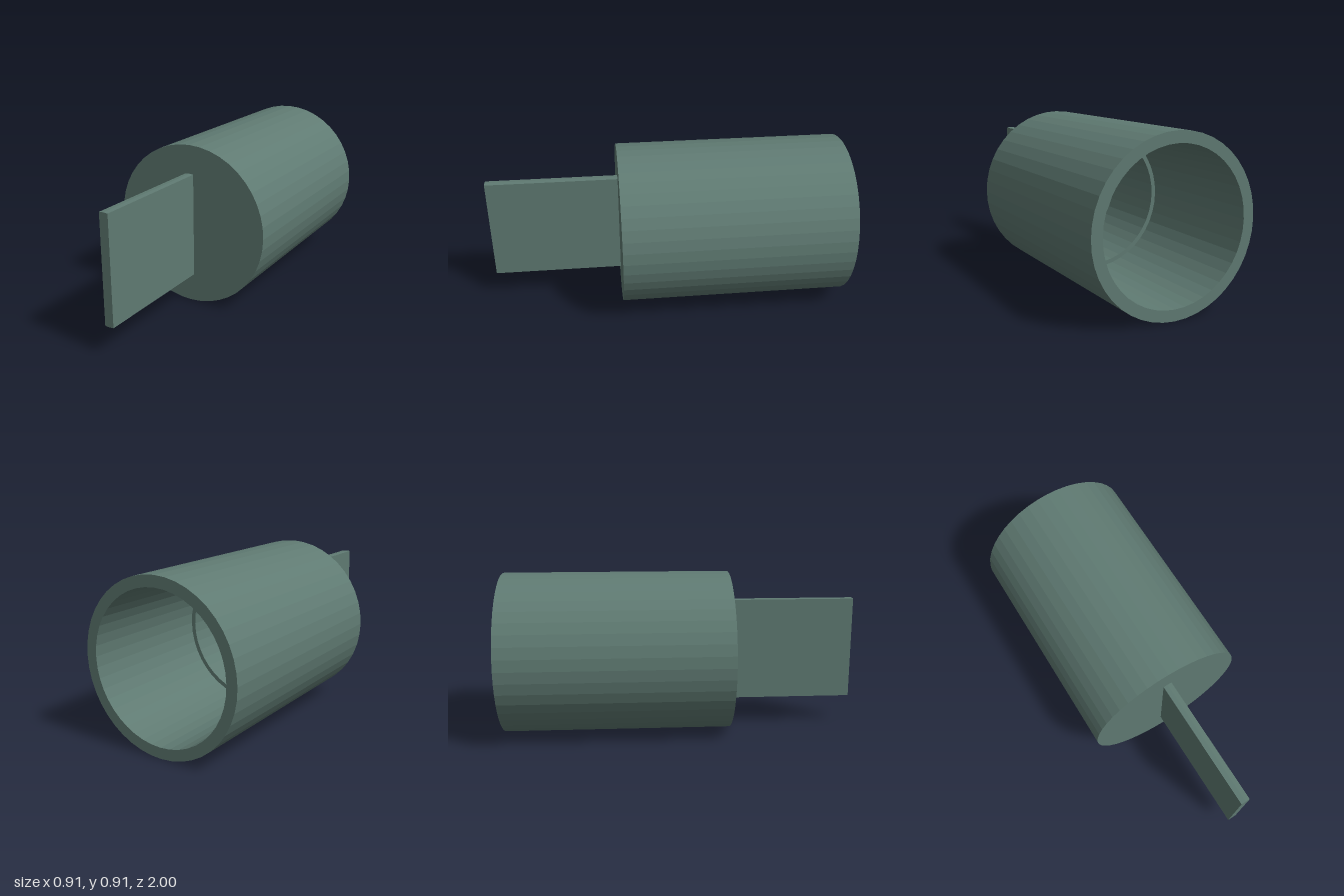
import * as THREE from 'three';

const CENTER_Y = 0.454;
const SEGMENTS = 44;

export function createModel() {
  const model = new THREE.Group();
  const material = new THREE.MeshStandardMaterial({ color: 0x5f7a72, flatShading: true });

  // Hollow body: open at the back, stepped bore, closed front face (radius, z)
  const profile = [
    [0, 0.2], [0.37, 0.2], [0.37, -0.23], [0.394, -0.23],
    [0.394, -1], [0.453, -1], [0.453, 0.27], [0, 0.27],
  ].map(([r, z]) => new THREE.Vector2(r, z));
  const bodyGeometry = new THREE.LatheGeometry(profile, SEGMENTS);
  bodyGeometry.rotateX(Math.PI / 2);
  const body = new THREE.Mesh(bodyGeometry, material);
  body.name = 'hollowBody';
  body.position.y = CENTER_Y;
  model.add(body);

  // Flat drive blade with slightly rounded top and bottom ends
  const w = 0.025, edge = 0.292, tip = 0.294;
  const outline = new THREE.Shape([
    [-w, -edge], [0, -tip], [w, -edge], [w, edge], [0, tip], [-w, edge],
  ].map(([x, y]) => new THREE.Vector2(x, y)));
  const blade = new THREE.Mesh(
    new THREE.ExtrudeGeometry(outline, { depth: 0.73, bevelEnabled: false }), material);
  blade.name = 'blade';
  blade.position.set(0, CENTER_Y, 0.27);
  model.add(blade);

  return model;
}
